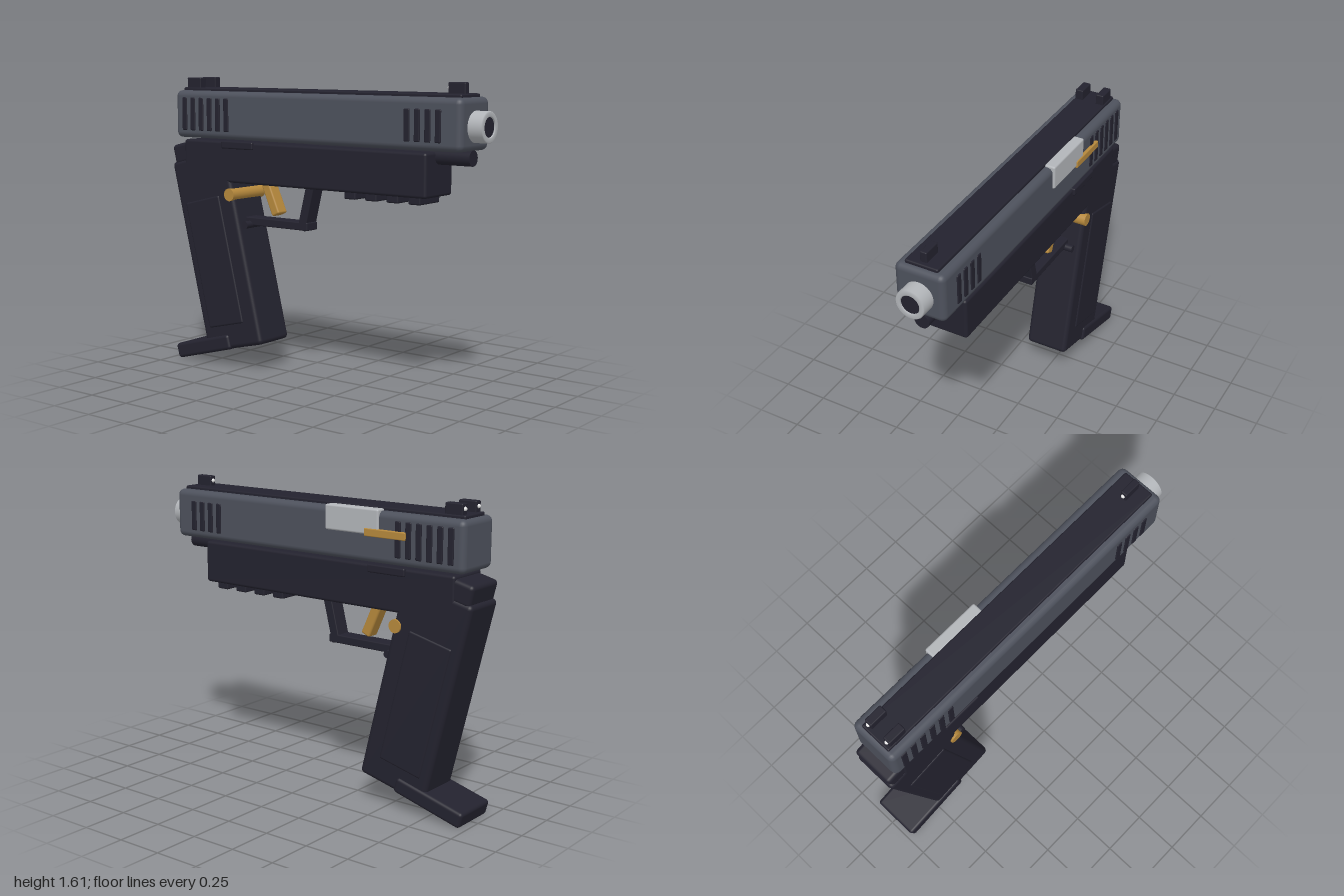
import * as THREE from 'three';
import { RoundedBoxGeometry } from 'three/addons/geometries/RoundedBoxGeometry.js';

const mat = (name, color) => {
  const m = new THREE.MeshStandardMaterial({ color });
  m.name = name;
  return m;
};

export function createModel() {
  const polymer = mat('dark polymer', 0x23222e);
  const steel = mat('slide grey', 0x4d515c);
  const silver = mat('silver', 0xb2b5b9);
  const gold = mat('gold', 0xb5883c);
  const white = mat('sight white', 0xe8e8e8);

  const model = new THREE.Group();
  model.name = 'pistol';
  const CX = -0.008; // centre line of the body

  const add = (name, geo, material, x, y, z, tilt = 0) => {
    const mesh = new THREE.Mesh(geo, material);
    mesh.name = name;
    mesh.position.set(x, y, z);
    mesh.rotation.x = tilt;
    model.add(mesh);
    return mesh;
  };
  // Box with softened edges, sizes along x, y, z
  const box = (name, material, size, pos, r = 0.01, tilt = 0) =>
    add(name, new RoundedBoxGeometry(...size, 3, r), material, ...pos, tilt);
  // Cylinder along z or x
  const rod = (name, material, r, len, pos, axis) => {
    const geo = new THREE.CylinderGeometry(r, r, len, 32);
    if (axis === 'x') geo.rotateZ(Math.PI / 2);
    else geo.rotateX(Math.PI / 2);
    return add(name, geo, material, ...pos);
  };

  // Slide with raised top rib
  box('slide', steel, [0.268, 0.262, 1.874], [CX, 1.415, -0.017], 0.032);
  box('topRib', polymer, [0.178, 0.05, 1.82], [CX, 1.537, -0.018], 0.008);

  // Serrations on both sides of the slide
  for (const side of [-1, 1]) {
    const x = CX + side * 0.131;
    for (let i = 0; i < 6; i++)
      box('rearSerration', polymer, [0.018, 0.182, 0.034], [x, 1.417, -0.574 - i * 0.0612], 0.006);
    for (let i = 0; i < 4; i++)
      box('frontSerration', polymer, [0.018, 0.162, 0.034], [x, 1.408, 0.79 - i * 0.0605], 0.006);
  }

  // Hollow muzzle, dark bore and recoil rod
  const profile = [[0.05, 0.1], [0.05, 0.197], [0.054, 0.2], [0.073, 0.2], [0.078, 0.195], [0.078, 0]]
    .map(([r, h]) => new THREE.Vector2(r, h)).reverse();
  const muzzle = new THREE.LatheGeometry(profile, 40);
  muzzle.rotateX(Math.PI / 2);
  silver.side = THREE.DoubleSide;
  add('muzzle', muzzle, silver, CX, 1.404, 0.8);
  rod('bore', polymer, 0.05, 0.19, [CX, 1.404, 0.897], 'z');
  rod('recoilRod', polymer, 0.04, 1.0, [CX, 1.25, 0.41], 'z');

  // Sights with white dots facing the rear
  const dot = new THREE.SphereGeometry(0.011, 12, 8);
  const sight = (name, x, z, w) => {
    box(name, polymer, [w, 0.065, 0.1], [x, 1.584, z], 0.006);
    add(name + 'Dot', dot, white, x, 1.59, z - 0.05);
  };
  sight('frontSight', CX, 0.82, 0.037);
  for (const side of [-1, 1]) sight('rearSight', CX + side * 0.061, -0.857, 0.044);

  // Ejection port cover and extractor on the left side
  box('ejectionPort', silver, [0.06, 0.13, 0.33], [0.107, 1.491, -0.296], 0.01);
  box('extractor', gold, [0.03, 0.04, 0.246], [0.128, 1.438, -0.502], 0.005);

  // Frame, slide catch and accessory rail
  box('frame', polymer, [0.246, 0.226, 1.614], [CX, 1.161, -0.091], 0.015);
  box('slideCatch', polymer, [0.27, 0.042, 0.225], [CX, 1.256, -0.502], 0.008);
  for (let i = 0; i < 4; i++)
    box('railLug', polymer, [0.182, 0.06, 0.072], [CX, 1.04, 0.627 - i * 0.132], 0.008);

  // Raked grip, side panels, tang and extended floor plate
  const rake = -0.24;
  box('grip', polymer, [0.246, 1.095, 0.407], [CX, 0.652, -0.672], 0.024, rake);
  for (const side of [-1, 1])
    box('gripPanel', polymer, [0.024, 0.72, 0.257], [CX + side * 0.117, 0.593, -0.682], 0.011, rake);
  box('tang', polymer, [0.236, 0.115, 0.2], [CX, 1.2, -0.892], 0.022, rake);
  box('floorPlate', polymer, [0.268, 0.085, 0.413], [CX, 0.1, -0.772], 0.018, -0.265);

  // Trigger guard
  box('guardStrut', polymer, [0.09, 0.27, 0.052], [CX, 0.945, -0.093], 0.006, 0.245);
  box('guardBar', polymer, [0.09, 0.044, 0.46], [CX, 0.834, -0.313], 0.006);
  rod('guardPin', polymer, 0.02, 0.176, [CX, 0.816, -0.485], 'x');

  // Trigger and cross pin
  box('trigger', gold, [0.075, 0.24, 0.054], [CX, 0.99, -0.357], 0.01, -0.42);
  rod('crossPin', gold, 0.035, 0.267, [CX, 0.982, -0.56], 'x');

  return model;
}
